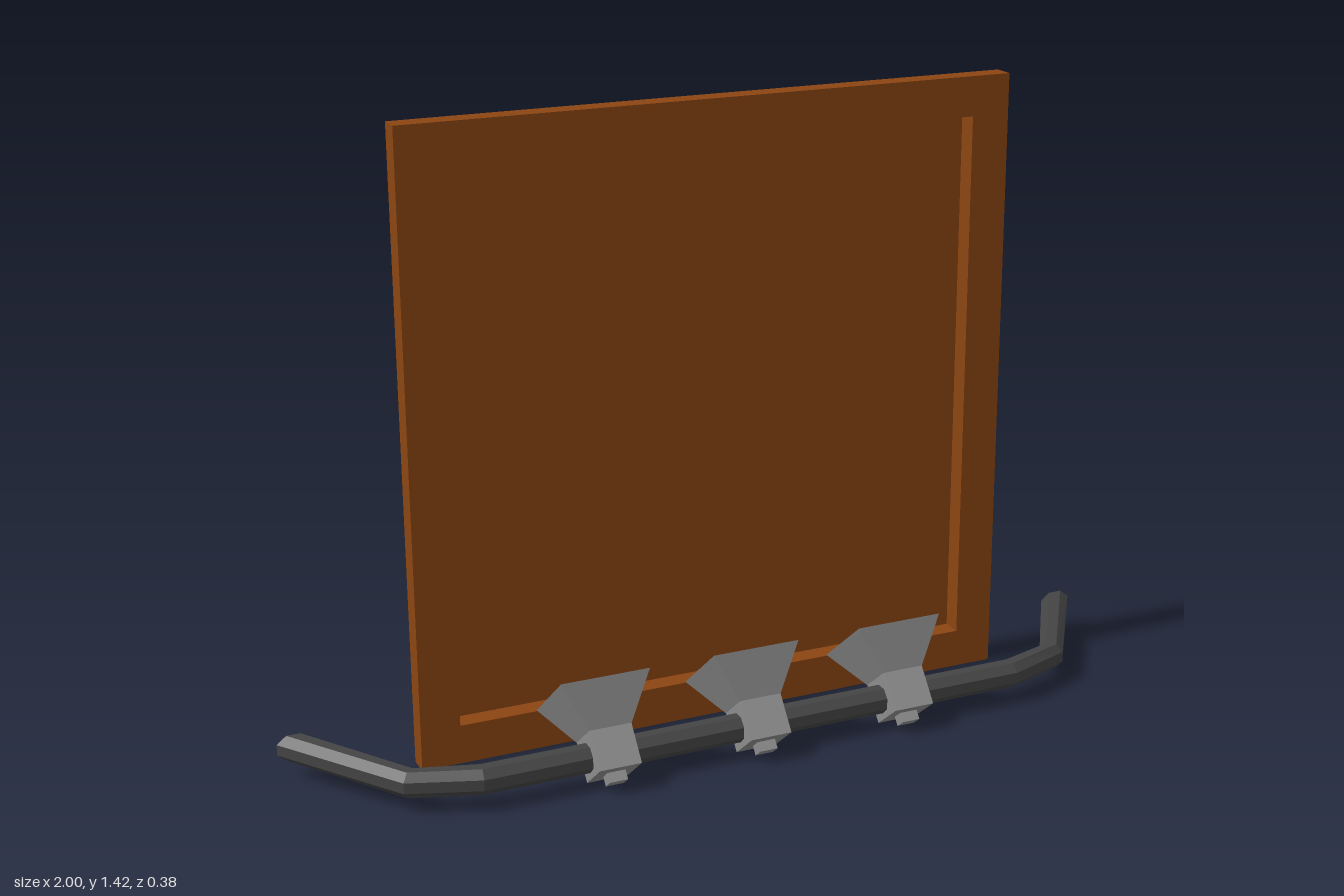
import * as THREE from 'three';

const material = (color) =>
  new THREE.MeshStandardMaterial({ color, flatShading: true, side: THREE.DoubleSide });

function addMesh(parent, name, geometry, mat) {
  const mesh = new THREE.Mesh(geometry, mat);
  mesh.name = name;
  parent.add(mesh);
  return mesh;
}

// Sweeps a square outline along a profile of [half width, height] pairs.
function squareLathe(profile) {
  const points = profile.map(([half, y]) => new THREE.Vector2(half * Math.SQRT2, y));
  const geometry = new THREE.LatheGeometry(points, 4).rotateY(Math.PI / 4).toNonIndexed();
  geometry.computeVertexNormals();
  return geometry;
}

// Octagonal bar lofted through mitred sections: [x, z, half width in x, half width in z].
function barGeometry(sections, y, radius) {
  const positions = [];
  const index = [];
  const sides = 8;
  const k = 1 / Math.cos(Math.PI / sides);
  for (const [x, z, wx, wz] of sections) {
    for (let i = 0; i < sides; i++) {
      const a = ((i + 0.5) / sides) * Math.PI * 2;
      const c = Math.cos(a) * k;
      positions.push(x + wx * c, y + radius * Math.sin(a) * k, z + wz * c);
    }
  }
  for (let s = 0; s < sections.length - 1; s++) {
    for (let i = 0; i < sides; i++) {
      const a = s * sides + i;
      const b = s * sides + ((i + 1) % sides);
      index.push(a, b, a + sides, b, b + sides, a + sides);
    }
  }
  // End caps
  const last = (sections.length - 1) * sides;
  for (let i = 1; i < sides - 1; i++) {
    index.push(0, i + 1, i, last, last + i, last + i + 1);
  }
  const geometry = new THREE.BufferGeometry();
  geometry.setAttribute('position', new THREE.Float32BufferAttribute(positions, 3));
  geometry.setIndex(index);
  const flat = geometry.toNonIndexed();
  flat.computeVertexNormals();
  return flat;
}

export function createModel() {
  const model = new THREE.Group();
  model.name = 'signPanelWithLamps';
  const brown = material(0x8b4513);
  const dark = material(0x444444);
  const grey = material(0x8c8c8c);

  // Square panel: thin open-backed shell with a recessed centre
  const panel = addMesh(model, 'panel', squareLathe([
    [0.71, -0.132], [0.71, -0.082], [0.62, -0.082], [0.62, -0.129], [0, -0.129],
  ]).rotateX(Math.PI / 2), brown);
  panel.position.y = 0.717;

  // Bent rail, mirrored about the middle
  const half = [
    [0.643, 0.125, 0.004, 0.03],
    [0.785, 0.079, 0.02, 0.019],
    [0.962, -0.19, 0.038, 0],
  ];
  const mirrored = half.map(([x, z, wx, wz]) => [-x, z, -wx, wz]).reverse();
  addMesh(model, 'rail', barGeometry([...mirrored, ...half], 0.068, 0.03), dark);

  // Three lamps tilted up and back towards the panel
  for (const x of [-0.355, 0, 0.355]) {
    const lamp = new THREE.Group();
    lamp.name = 'lamp';
    lamp.position.set(x, 0.036, 0.155);
    lamp.rotation.x = -0.681;
    addMesh(lamp, 'lampBase', new THREE.BoxGeometry(0.096, 0.09, 0.102), grey).position.y = 0.045;
    addMesh(lamp, 'lampShade', squareLathe([[0.049, 0.09], [0.102, 0.189]]), grey);
    addMesh(lamp, 'lampKnob', new THREE.BoxGeometry(0.042, 0.022, 0.032), grey).position.y = -0.011;
    model.add(lamp);
  }
  return model;
}
